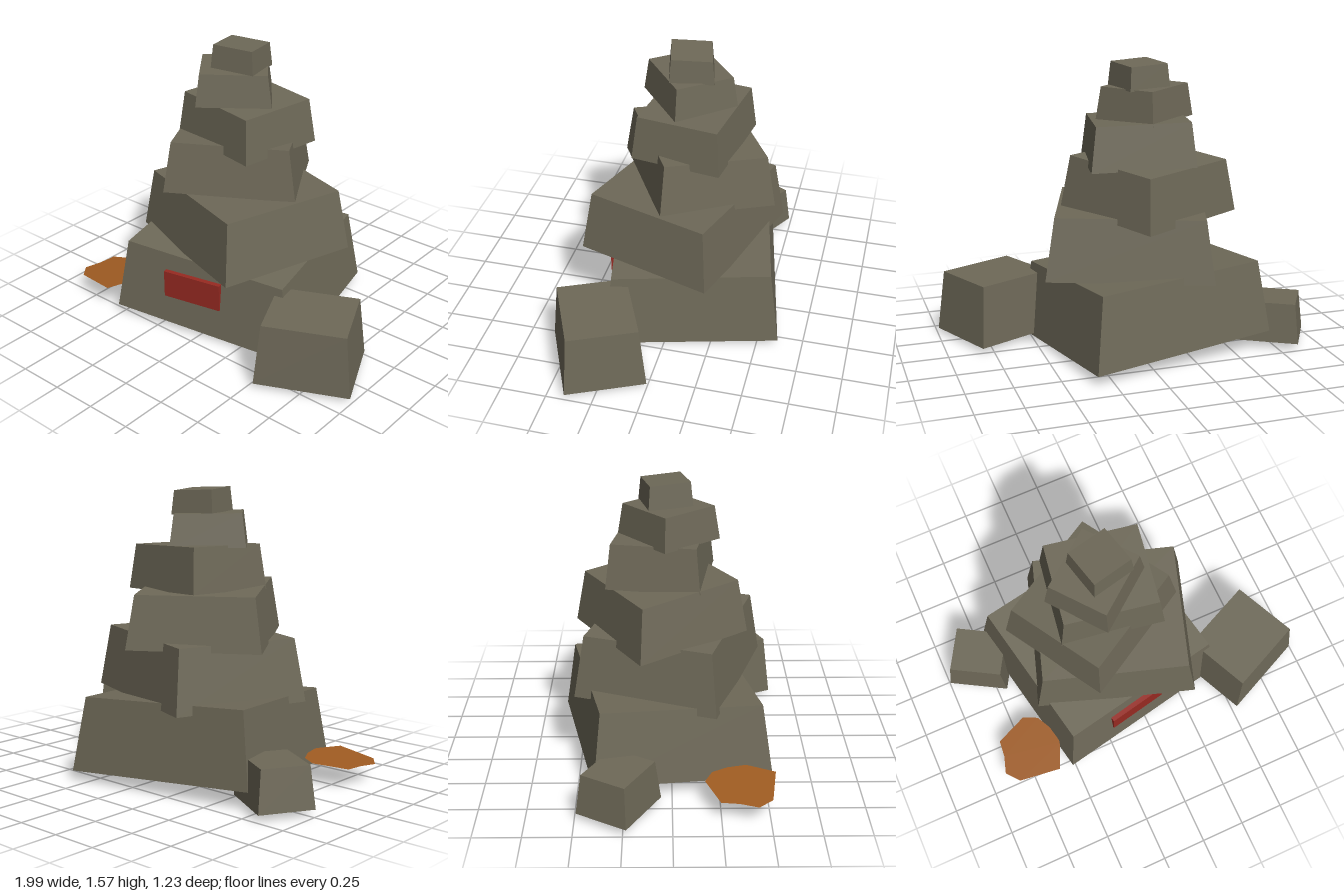
import * as THREE from 'three';

export function createModel() {
  const model = new THREE.Group();
  model.name = 'stackedStones';

  const stone = new THREE.MeshStandardMaterial({ color: 0x6e6958 });
  stone.name = 'stone';
  const red = new THREE.MeshStandardMaterial({ color: 0x982a22 });
  red.name = 'red';
  const orange = new THREE.MeshStandardMaterial({ color: 0xa05c22, side: THREE.DoubleSide });
  orange.name = 'orange';

  // Tapered block: turned by yaw, then slanted by the slopes sx and sz
  function addStone(name, [x, z], [w, d], yaw, [y0, y1], taper, sx = 0, sz = 0) {
    const geo = new THREE.BoxGeometry(w, y1 - y0, d);
    const p = geo.attributes.position;
    for (let i = 0; i < p.count; i++) {
      if (p.getY(i) > 0) p.setXYZ(i, p.getX(i) * taper, p.getY(i), p.getZ(i) * taper);
    }
    geo.rotateY(yaw);
    for (let i = 0; i < p.count; i++) p.setY(i, p.getY(i) + sx * p.getX(i) + sz * p.getZ(i));
    geo.computeVertexNormals();
    const mesh = new THREE.Mesh(geo, stone);
    mesh.name = name;
    mesh.position.set(x, (y0 + y1) / 2, z);
    model.add(mesh);
  }

  // Main stack, bottom to top
  addStone('baseStone', [-0.09, -0.04], [1.07, 0.965], 0.2, [0.055, 0.459], 0.895, -0.055, -0.044);
  addStone('secondStone', [-0.035, -0.005], [0.895, 0.79], -0.318, [0.447, 0.787], 0.89, 0.02, 0);
  addStone('thirdStone', [-0.12, -0.06], [0.717, 0.645], 0.526, [0.768, 1.052], 0.885, 0.035, 0.07);
  addStone('fourthStone', [-0.057, -0.053], [0.56, 0.497], -0.165, [1.032, 1.272], 0.9, -0.025, -0.01);
  addStone('fifthStone', [-0.11, -0.015], [0.402, 0.366], 0.67, [1.265, 1.443], 0.89, -0.01, 0.02);
  addStone('topStone', [-0.072, -0.03], [0.247, 0.236], 0.23, [1.44, 1.567], 0.91, -0.02, 0.06);

  // Loose stones at the foot
  addStone('leftSideStone', [0.67, 0.306], [0.508, 0.438], 0.43, [0.03, 0.37], 0.87);
  addStone('rightSideStone', [-0.77, -0.275], [0.347, 0.3], -0.528, [0.04, 0.26], 0.86);

  // Red plaque set into the front of the base
  const plaque = new THREE.Mesh(new THREE.BoxGeometry(0.346, 0.155, 0.03), red);
  plaque.name = 'frontPlaque';
  plaque.position.set(-0.053, 0.2725, 0.417);
  plaque.rotation.y = 0.2;
  model.add(plaque);

  // Flat orange patch beside the base, given as x, z points
  const outline = [
    [-0.68, 0.17], [-0.6, 0.21], [-0.54, 0.33], [-0.54, 0.4], [-0.6, 0.545],
    [-0.84, 0.51], [-0.9, 0.435], [-0.87, 0.34], [-0.86, 0.245],
  ].map(([x, z]) => new THREE.Vector2(x, -z));
  const patchGeo = new THREE.ShapeGeometry(new THREE.Shape(outline));
  patchGeo.rotateX(-Math.PI / 2);
  const p = patchGeo.attributes.position;
  for (let i = 0; i < p.count; i++) p.setY(i, 0.107 + 0.08 * (p.getX(i) + 0.9));
  patchGeo.computeVertexNormals();
  const patch = new THREE.Mesh(patchGeo, orange);
  patch.name = 'orangePatch';
  model.add(patch);

  return model;
}
